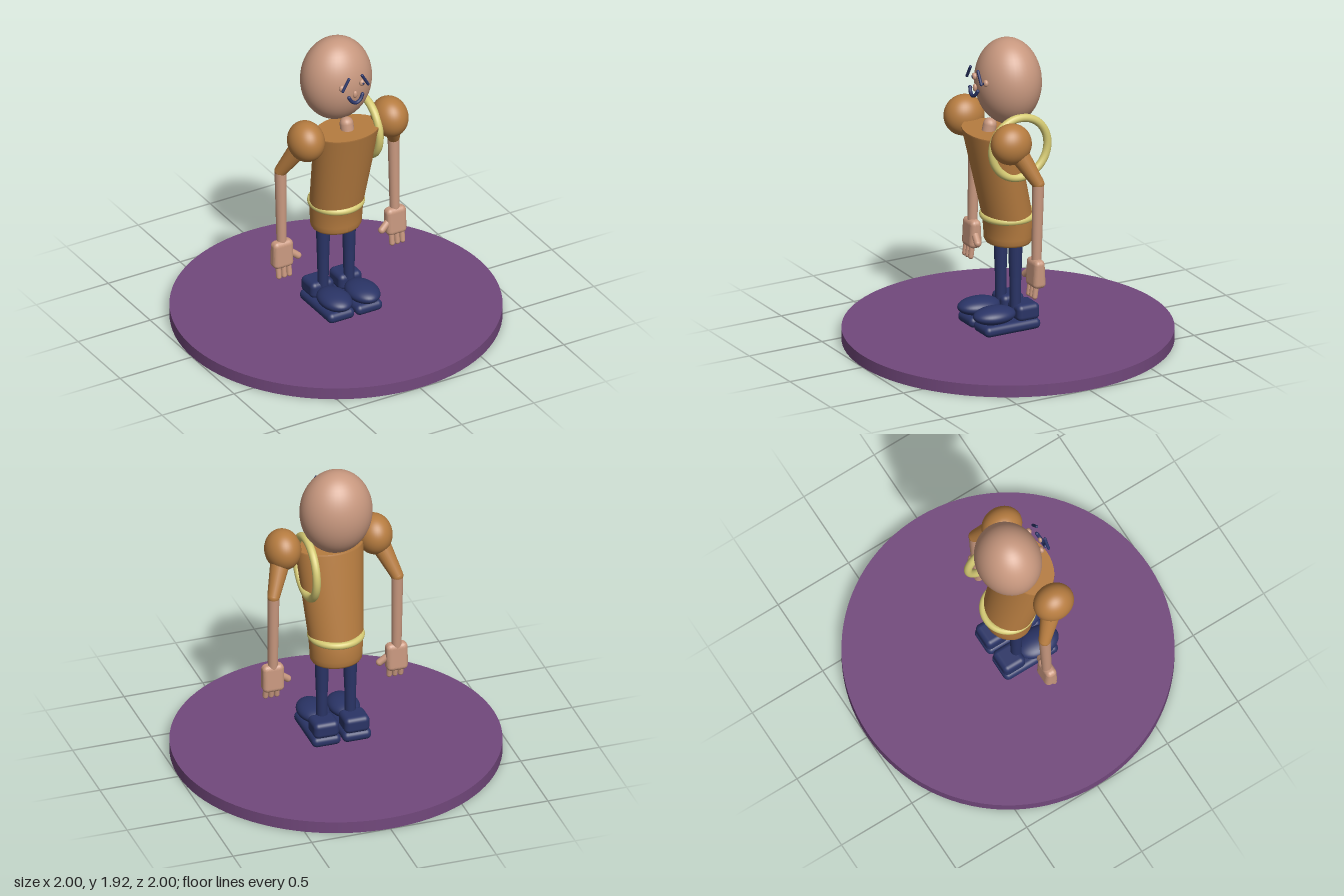
import * as THREE from 'three';
import { RoundedBoxGeometry } from 'three/addons/geometries/RoundedBoxGeometry.js';

const mat = (name, color) => {
  const m = new THREE.MeshStandardMaterial({ color });
  m.name = name;
  return m;
};
const V = (x, y, z) => new THREE.Vector3(x, y, z);

export function createModel() {
  const purple = mat('purple stand', 0x72487c);
  const skin = mat('skin', 0xc8987f);
  const orange = mat('orange shirt', 0xb67c40);
  const navy = mat('navy', 0x2a3466);
  const yellow = mat('yellow rope', 0xd6cb74);
  const model = new THREE.Group();
  model.name = 'figure';

  const add = (name, geo, material, pos = [0, 0, 0], parent = model) => {
    const m = new THREE.Mesh(geo, material);
    m.name = name;
    m.position.set(...pos);
    parent.add(m);
    return m;
  };
  const ball = (name, material, pos, r, parent) =>
    add(name, new THREE.SphereGeometry(1, 40, 28).scale(...r), material, pos, parent);
  const box = (name, material, pos, size, r, parent) =>
    add(name, new RoundedBoxGeometry(...size, 5, r), material, pos, parent);
  // tapered limb from a to b
  const limb = (name, material, a, b, ra, rb, parent) => {
    const d = b.clone().sub(a);
    const m = add(name, new THREE.CylinderGeometry(rb, ra, d.length(), 24), material,
      a.clone().add(b).multiplyScalar(0.5).toArray(), parent);
    m.quaternion.setFromUnitVectors(V(0, 1, 0), d.normalize());
    return m;
  };
  // round-ended rod from a to b
  const rod = (name, material, a, b, r, parent) => {
    const d = b.clone().sub(a);
    const m = add(name, new THREE.CapsuleGeometry(r, d.length(), 8, 16), material,
      a.clone().add(b).multiplyScalar(0.5).toArray(), parent);
    m.quaternion.setFromUnitVectors(V(0, 1, 0), d.normalize());
    return m;
  };

  // Stand
  add('stand', new THREE.CylinderGeometry(1, 1, 0.075, 96), purple, [0, 0.0375, 0]);

  // Torso: oval lathe leaning forward above the waist
  const profile = [[0, 0.63], [0.135, 0.63], [0.15, 0.635], [0.159, 0.65], [0.161, 0.68],
    [0.167, 0.78], [0.213, 1.355], [0.211, 1.365]].map(p => new THREE.Vector2(...p));
  const torso = new THREE.LatheGeometry(profile, 64);
  const p = torso.attributes.position;
  for (let i = 0; i < p.count; i++) {
    const y = p.getY(i);
    const t = Math.max(0, (y - 0.77) / 0.595);
    p.setZ(i, p.getZ(i) * (0.89 - 0.19 * Math.min(1, t)) + 0.13 * t);
  }
  torso.computeVertexNormals();
  add('torso', torso, orange);
  add('torsoTop', new THREE.CircleGeometry(0.211, 64).rotateX(-Math.PI / 2).scale(1, 1, 0.7),
    orange, [0, 1.365, 0.13]);

  // Belt and shoulder ring
  add('belt', new THREE.TorusGeometry(0.152, 0.022, 16, 64).rotateX(Math.PI / 2),
    yellow, [0, 0.803, 0]);
  add('shoulderRing', new THREE.TorusGeometry(0.19, 0.025, 16, 64).rotateY(Math.PI / 2),
    yellow, [0.181, 1.287, 0.02]);

  // Neck and head
  rod('neck', skin, V(0, 1.33, 0.14), V(0, 1.398, 0.125), 0.042);
  ball('head', skin, [0, 1.657, 0], [0.223, 0.268, 0.198]);

  // Face
  ball('nose', skin, [0, 1.652, 0.228], [0.015, 0.024, 0.012]);
  const smile = new THREE.CatmullRomCurve3([V(-0.047, 1.644, 0.235), V(-0.03, 1.617, 0.241),
    V(0, 1.603, 0.244), V(0.03, 1.617, 0.241), V(0.047, 1.644, 0.235)]);
  add('mouth', new THREE.TubeGeometry(smile, 32, 0.011, 12), navy);
  for (const s of [-1, 1]) {
    ball('mouthCorner', navy, [s * 0.047, 1.644, 0.235], [0.011, 0.011, 0.011]);
    rod('eyebrow', navy, V(s * 0.046, 1.772, 0.233), V(s * 0.088, 1.7, 0.233), 0.009);
    ball('eye', skin, [s * 0.07, 1.695, 0.192], [0.02, 0.022, 0.016]);
    ball('pupil', navy, [s * 0.07, 1.695, 0.206], [0.007, 0.008, 0.004]);
  }

  // Arms, legs and shoes on both sides
  for (const s of [-1, 1]) {
    const arm = new THREE.Group();
    arm.name = s > 0 ? 'leftArm' : 'rightArm';
    model.add(arm);
    const elbow = V(s * 0.393, 1.125, 0.012);
    ball('shoulder', orange, [s * 0.29, 1.367, 0.14], [0.11, 0.127, 0.128], arm);
    limb('upperArm', orange, V(s * 0.3, 1.35, 0.125), elbow, 0.066, 0.038, arm);
    ball('elbow', orange, elbow.toArray(), [0.037, 0.037, 0.037], arm);
    limb('forearm', skin, V(s * 0.393, 1.12, 0.012), V(s * 0.393, 0.62, 0.025), 0.036, 0.03, arm);

    // Hand narrows in depth towards the wrist
    const palm = new RoundedBoxGeometry(0.135, 0.18, 0.085, 5, 0.03);
    const q = palm.attributes.position;
    for (let i = 0; i < q.count; i++) q.setZ(i, q.getZ(i) * (0.9 - 1.3 * q.getY(i)));
    palm.computeVertexNormals();
    add('palm', palm, skin, [s * 0.393, 0.56, 0.029], arm);
    for (const k of [-1, 0, 1]) {
      const x = s * (0.393 + k * 0.036);
      rod('finger', skin, V(x, 0.5, 0.045), V(x, 0.42, 0.056), 0.017, arm);
    }
    rod('thumb', skin, V(s * 0.345, 0.565, 0.035), V(s * 0.292, 0.522, 0.045), 0.022, arm);

    const leg = new THREE.Group();
    leg.name = s > 0 ? 'leftLeg' : 'rightLeg';
    model.add(leg);
    const x = s * 0.09;
    limb('thigh', navy, V(x, 0.43, 0), V(x, 0.66, 0), 0.037, 0.044, leg);
    limb('shin', navy, V(x, 0.2, 0), V(x, 0.44, 0), 0.033, 0.036, leg);
    box('sole', navy, [s * 0.097, 0.134, 0.06], [0.182, 0.068, 0.38], 0.032, leg);
    box('heel', navy, [s * 0.097, 0.21, -0.053], [0.16, 0.105, 0.152], 0.032, leg);
    ball('toe', navy, [s * 0.097, 0.21, 0.148], [0.097, 0.053, 0.137], leg);
  }
  return model;
}
